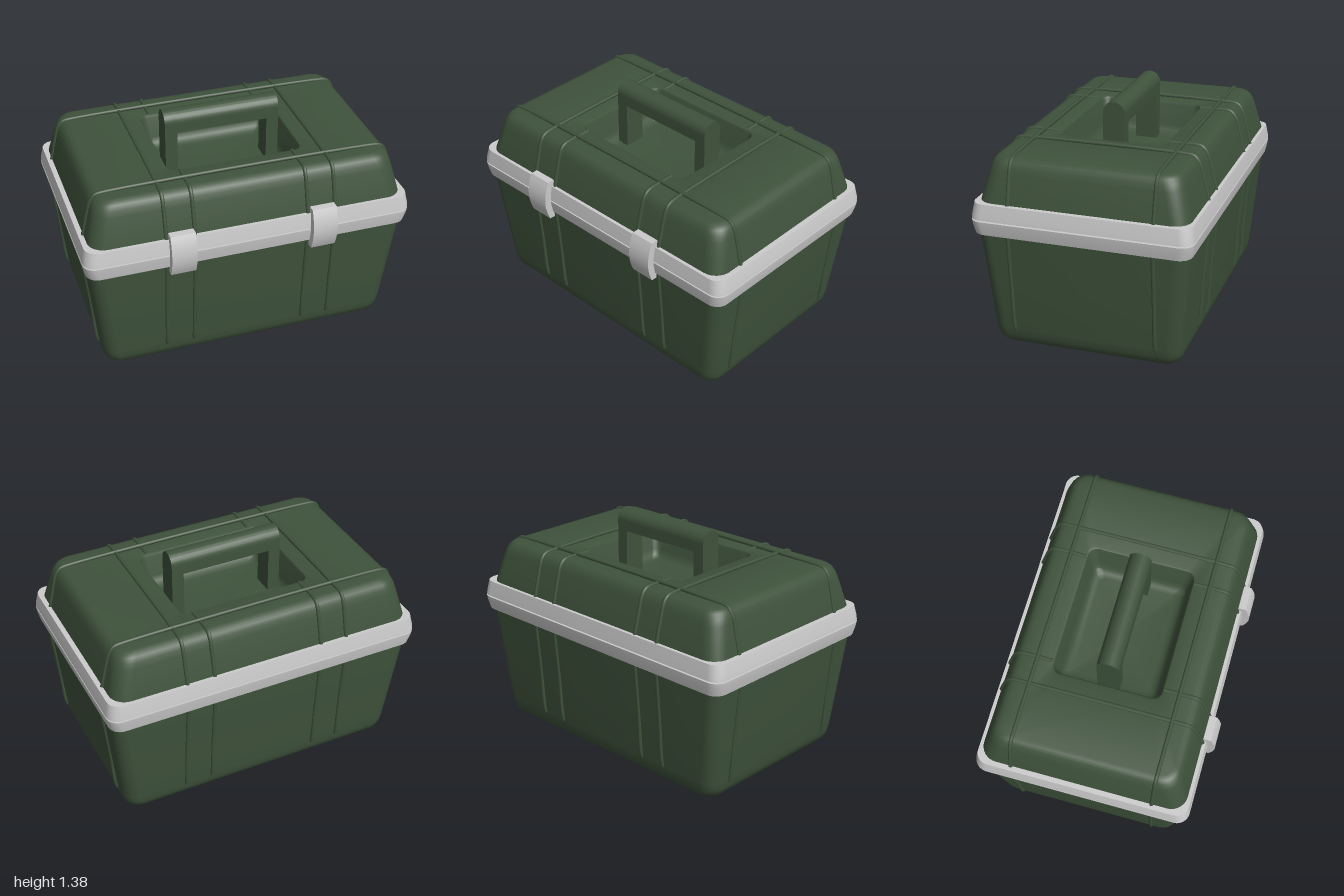
import * as THREE from 'three';
import { toCreasedNormals } from 'three/addons/utils/BufferGeometryUtils.js';

const CZ = -0.022; // centre of the box in z
const green = new THREE.MeshStandardMaterial({ color: 0x3f533c });
const grey = new THREE.MeshStandardMaterial({ color: 0xcccccc });

// Closed loft through rounded rectangles: [y, half width, half depth, corner radius]
function loft(rings, crease = 0.6) {
  const seg = 8, n = 4 * (seg + 1), pos = [], idx = [];
  for (const [y, hx, hz, r] of rings) {
    for (let q = 0; q < 4; q++) {
      const sx = q === 0 || q === 3 ? 1 : -1, sz = q < 2 ? 1 : -1;
      for (let i = 0; i <= seg; i++) {
        const a = (q + i / seg) * Math.PI / 2;
        pos.push(sx * (hx - r) + r * Math.cos(a), y, sz * (hz - r) + r * Math.sin(a));
      }
    }
  }
  for (let k = 0; k < rings.length - 1; k++) {
    for (let j = 0; j < n; j++) {
      const a = k * n + j, b = k * n + (j + 1) % n;
      idx.push(a, a + n, b, b, a + n, b + n);
    }
  }
  const last = rings.length - 1, base = rings.length * n;
  pos.push(0, rings[0][0], 0, 0, rings[last][0], 0);
  for (let j = 0; j < n; j++) {
    const k = (j + 1) % n;
    idx.push(base, j, k, base + 1, last * n + k, last * n + j);
  }
  const g = new THREE.BufferGeometry();
  g.setAttribute('position', new THREE.Float32BufferAttribute(pos, 3));
  g.setIndex(idx);
  return toCreasedNormals(g, crease);
}

function add(parent, name, geometry, material, x = 0, y = 0, z = 0) {
  const m = new THREE.Mesh(geometry, material);
  m.name = name;
  m.position.set(x, y, z);
  parent.add(m);
  return m;
}

// Side profiles shared by the shells and their ribs
const bodyProfile = [
  [0, 0.83, 0.515, 0.06], [0.008, 0.858, 0.538, 0.08], [0.03, 0.88, 0.558, 0.09],
  [0.065, 0.895, 0.57, 0.095], [0.11, 0.903, 0.576, 0.095], [0.4, 0.934, 0.599, 0.09],
  [0.72, 0.968, 0.625, 0.085], [0.808, 0.975, 0.63, 0.08],
];
const lidProfile = [
  [0.808, 0.972, 0.637, 0.09], [0.9, 0.955, 0.622, 0.1], [1.0, 0.932, 0.597, 0.1],
  [1.08, 0.913, 0.576, 0.1], [1.115, 0.903, 0.565, 0.1], [1.143, 0.887, 0.55, 0.095],
  [1.159, 0.867, 0.532, 0.085], [1.165, 0.84, 0.506, 0.07],
];
const recess = [
  [1.165, 0.425, 0.34, 0.06], [1.16, 0.413, 0.329, 0.055], [1.145, 0.406, 0.322, 0.05],
  [1.02, 0.385, 0.3, 0.05], [0.985, 0.373, 0.288, 0.045], [0.965, 0.35, 0.265, 0.04],
  [0.96, 0.32, 0.235, 0.03],
];

function tube(points, segments) {
  const curve = new THREE.CatmullRomCurve3(points, false, 'centripetal');
  return new THREE.TubeGeometry(curve, segments, 0.012, 8);
}

// Ribs; alongX: the rib lies in a plane of constant z, otherwise of constant x
function addRibs(parent, at, alongX, interrupted) {
  const h = alongX ? 1 : 2;
  const point = (u, y) => alongX ? new THREE.Vector3(u, y, at) : new THREE.Vector3(at, y, u);
  const lidSide = s => lidProfile.slice(1).map(p => point(s * p[h], p[0]));
  if (interrupted) {
    for (const s of [1, -1]) {
      add(parent, 'lidRib', tube([...lidSide(s), point(s * 0.335, 1.163)], 40), green);
    }
  } else {
    add(parent, 'lidRib', tube([...lidSide(1), ...lidSide(-1).reverse()], 96), green);
  }
  for (const s of [1, -1]) {
    const wall = bodyProfile.slice(4, 7);
    const start = point(s * (wall[0][h] - 0.018), 0.088);
    add(parent, 'bodyRib', tube([start, ...wall.map(p => point(s * p[h], p[0]))], 16), green);
  }
}

export function createModel() {
  const model = new THREE.Group();
  model.name = 'toolbox';
  const box = new THREE.Group();
  box.name = 'box';
  box.position.z = CZ;
  model.add(box);

  // Shells: the lid runs on over its top into the handle recess
  add(box, 'body', loft(bodyProfile), green);
  add(box, 'lid', loft([...lidProfile, ...recess]), green);

  // Rim bands with a narrow seam between them
  add(box, 'lowerRim', loft([
    [0.72, 0.984, 0.641, 0.075], [0.775, 0.997, 0.652, 0.075], [0.803, 1, 0.655, 0.075],
  ], 0.35), grey);
  add(box, 'upperRim', loft([
    [0.812, 1, 0.655, 0.075], [0.84, 0.997, 0.652, 0.075], [0.905, 0.984, 0.641, 0.075],
    [0.905, 0.94, 0.6, 0.075],
  ], 0.35), grey);

  // Ribs
  for (const s of [1, -1]) {
    addRibs(box, s * 0.345, false, true);
    addRibs(box, s * 0.515, false, false);
    addRibs(box, s * 0.428, true, false);
  }

  // Handle: round-topped profiles extruded along x
  const arch = (bottom, length) => {
    const r = 0.067, shape = new THREE.Shape();
    shape.moveTo(-r, bottom);
    shape.lineTo(r, bottom);
    shape.lineTo(r, 1.308);
    shape.absarc(0, 1.308, r, 0, Math.PI, false);
    shape.closePath();
    const g = new THREE.ExtrudeGeometry(shape, { depth: length, bevelEnabled: false, curveSegments: 20 });
    g.translate(0, 0, -length / 2);
    g.rotateY(Math.PI / 2);
    return toCreasedNormals(g, 0.5);
  };
  const handle = new THREE.Group();
  handle.name = 'handle';
  box.add(handle);
  add(handle, 'handleBar', arch(1.245, 0.56), green);
  for (const s of [1, -1]) add(handle, 'handleLeg', arch(0.95, 0.075), green, s * 0.3175);

  // Curved latches on the front
  const latch = new THREE.Shape();
  latch.moveTo(0.58, 0.68);
  latch.lineTo(0.645, 0.68);
  latch.quadraticCurveTo(0.709, 0.8125, 0.645, 0.945);
  latch.lineTo(0.6, 0.945);
  latch.closePath();
  const latchGeometry = new THREE.ExtrudeGeometry(latch, { depth: 0.15, bevelEnabled: false, curveSegments: 10 });
  latchGeometry.translate(0, 0, -0.075);
  // Turn the profile so that its first axis points to +z
  latchGeometry.rotateY(-Math.PI / 2);
  const latchSmooth = toCreasedNormals(latchGeometry, 0.5);
  for (const s of [1, -1]) add(model, 'latch', latchSmooth, grey, s * 0.43);

  return model;
}
